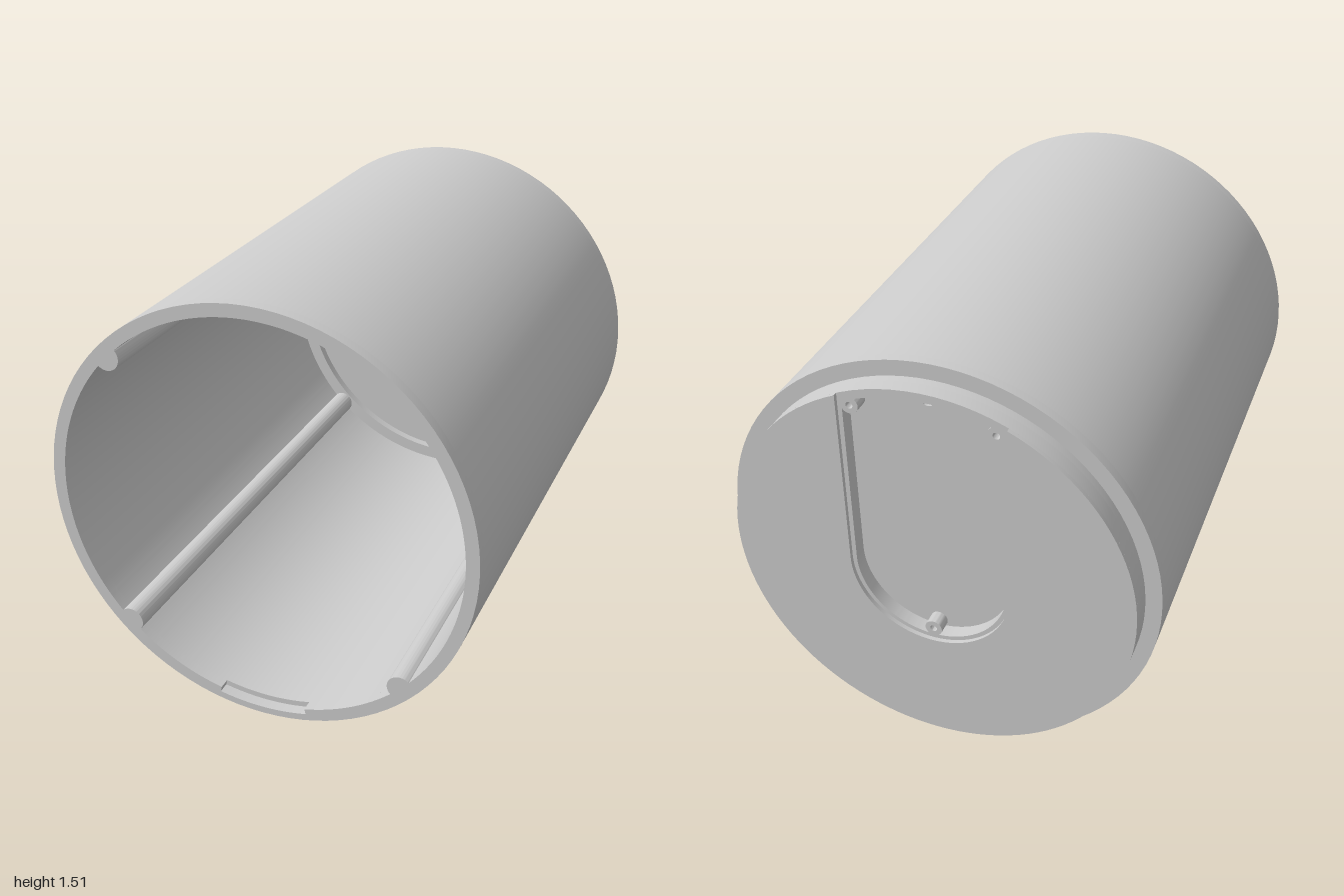
import * as THREE from 'three';
import { toCreasedNormals } from 'three/addons/utils/BufferGeometryUtils.js';

const R = 0.755, INNER = 0.71, SEAT = 0.66, PLUG = 0.70;
const PI = Math.PI;

// Shapes are drawn around the cylinder axis; y = 0 is the axis.
function disc(r, x = 0, y = 0) {
  const s = new THREE.Shape();
  s.absarc(x, y, r, 0, PI * 2, false);
  return s;
}

function polygon(points) {
  return new THREE.Shape(points.map(([x, y]) => new THREE.Vector2(x, y)));
}

// Bore outline with four rounded ribs and an optional notch at the bottom
function bore(notch) {
  const p = new THREE.Path();
  const rib = 0.045, d = 2 * Math.asin(rib / 2 / INNER);
  let start = -PI / 4 + d;
  for (let i = 0; i < 4; i++) {
    const a = PI / 4 + i * PI / 2;
    if (notch && i === 3) {
      const mid = 1.5 * PI, h = 0.224;
      p.absarc(0, 0, INNER, start, mid - h, false);
      p.absarc(0, 0, 0.73, mid - h, mid + h, false);
      p.absarc(0, 0, INNER, mid + h, a - d, false);
    } else {
      p.absarc(0, 0, INNER, start, a - d, false);
    }
    p.absarc(INNER * Math.cos(a), INNER * Math.sin(a), rib,
      a - PI / 2 - d / 2, a + PI / 2 + d / 2, true);
    start = a + d;
  }
  p.closePath();
  return p;
}

export function createModel() {
  const group = new THREE.Group();
  const material = new THREE.MeshStandardMaterial({ color: 0xcccccc });

  function slab(name, shape, z0, z1, holes = [], segments = 48) {
    shape.holes.push(...holes);
    const geometry = new THREE.ExtrudeGeometry(shape,
      { depth: z1 - z0, bevelEnabled: false, curveSegments: segments });
    const mesh = new THREE.Mesh(toCreasedNormals(geometry, 0.5), material);
    mesh.name = name;
    mesh.position.set(0, R, z0);
    group.add(mesh);
    return mesh;
  }

  // Tube with ribs, its notched front rim and the seat ring behind
  slab('frontRim', disc(R), 0.96, 1, [bore(true)]);
  slab('shell', disc(R), -0.87, 0.96, [bore(false)]);
  slab('seatRing', disc(R), -0.905, -0.87, [disc(SEAT)]);

  // Floor with a cable hole
  const cable = () => disc(0.02, 0, 0.645);
  slab('floor', disc(PLUG), -0.935, -0.905, [cable()]);

  // Wall around the U-shaped pocket, closed by a thin rim at the top
  const W = 0.265, wallR = 0.67, top = Math.acos(W / wallR);
  const pocket = new THREE.Path();
  pocket.absarc(0, 0, W, PI, PI * 2, false);
  pocket.absarc(0, 0, wallR, top, PI - top, false);
  pocket.closePath();
  slab('pocketWall', disc(PLUG), -0.985, -0.935, [pocket]);

  // Rear face, open at the top for a flush cover
  const U = 0.28, open = Math.acos(U / PLUG);
  const face = new THREE.Shape();
  face.absarc(0, 0, PLUG, PI - open, PI * 2 + open, false);
  face.absarc(0, 0, U, PI * 2, PI, true);
  face.closePath();
  slab('rearFace', face, -1, -0.985);

  // Screw bosses in the pocket
  for (const [x, y] of [[-0.24, 0.605], [0.24, 0.605], [0, -0.24]]) {
    slab('screwBoss', disc(0.03, x, y), -0.985, -0.935, [disc(0.012, x, y)], 16);
  }

  // Cable guide on the inside of the floor
  const plate = polygon([[-0.18, 0.635], [-0.14, 0.535], [-0.115, 0.535],
    [-0.07, 0.56], [0, 0.575], [0.07, 0.565], [0.08, 0.58], [0.08, 0.655], [-0.16, 0.65]]);
  slab('guidePlate', plate, -0.905, -0.87, [cable()], 16);
  const block = polygon([[-0.07, 0.705], [-0.095, 0.59], [-0.085, 0.58],
    [0.085, 0.575], [0.1, 0.6], [0.07, 0.705]]);
  slab('guideBlock', block, -0.87, -0.83, [cable(), disc(0.016, 0, 0.683)], 16);

  return group;
}
